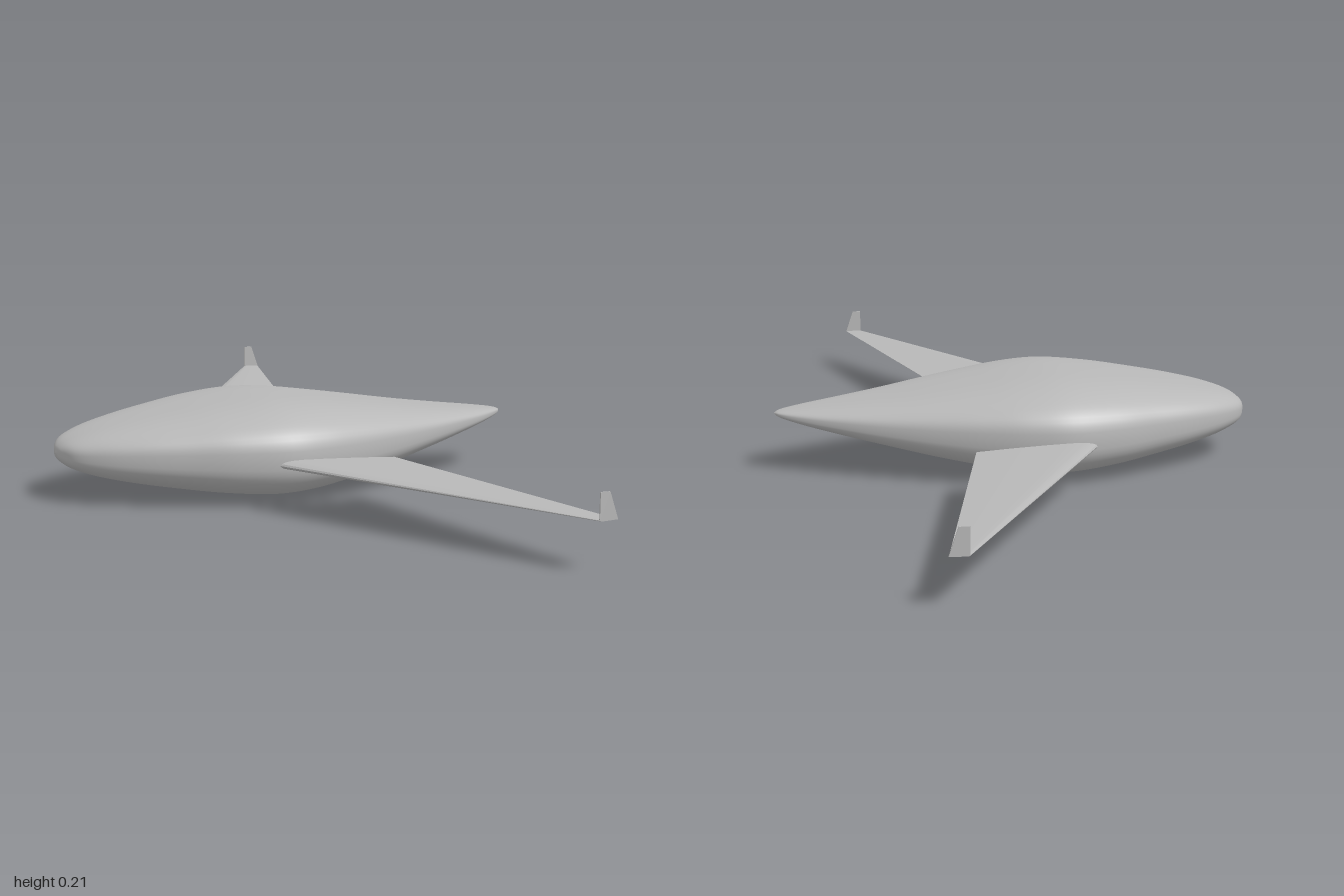
import * as THREE from 'three';
import { toCreasedNormals } from 'three/addons/utils/BufferGeometryUtils.js';

// Skin a list of closed rings of [x, y, z]; optional flat end caps
function loft(rings, capped) {
  const n = rings[0].length, last = (rings.length - 1) * n, index = [];
  for (let i = 0; i < rings.length - 1; i++) {
    for (let j = 0; j < n; j++) {
      const k = (j + 1) % n, a = i * n, b = a + n;
      index.push(a + j, b + j, a + k, b + j, b + k, a + k);
    }
  }
  if (capped) {
    for (let j = 1; j < n - 1; j++) {
      index.push(0, j, j + 1, last, last + j + 1, last + j);
    }
  }
  const g = new THREE.BufferGeometry();
  g.setAttribute('position', new THREE.Float32BufferAttribute(rings.flat(2), 3));
  g.setIndex(index);
  g.computeVertexNormals();
  return g;
}

// Fuselage: rounded-rectangle sections, [x, half width, half height]
function bodyGeometry() {
  const stations = [
    [-0.555, 0, 0], [-0.55, 0.035, 0.015], [-0.53, 0.08, 0.031], [-0.48, 0.125, 0.049],
    [-0.4, 0.172, 0.067], [-0.3, 0.217, 0.084], [-0.2, 0.257, 0.098], [-0.09, 0.28, 0.1065],
    [0, 0.268, 0.102], [0.1, 0.236, 0.088], [0.2, 0.196, 0.071], [0.3, 0.152, 0.052],
    [0.4, 0.105, 0.034], [0.5, 0.052, 0.016], [0.545, 0.018, 0.006], [0.555, 0, 0],
  ];
  const curve = new THREE.CatmullRomCurve3(stations.map((s) => new THREE.Vector3(...s)));
  const power = (v) => Math.sign(v) * Math.abs(v) ** (2 / 2.8);
  const rings = [];
  const steps = (stations.length - 1) * 5;
  for (let i = 0; i <= steps; i++) {
    const p = curve.getPoint(i / steps);
    const rise = 0.11 + 0.027 * Math.max(0, (p.x + 0.09) / 0.645) ** 2.2;
    const ring = [];
    for (let j = 0; j < 64; j++) {
      const a = (j / 64) * Math.PI * 2;
      ring.push([p.x, rise + p.z * power(Math.sin(a)), p.y * power(Math.cos(a))]);
    }
    rings.push(ring);
  }
  return loft(rings, false);
}

// Wing: tapered airfoil from root to tip
function wingGeometry(side) {
  const profile = [[0, 0], [0.01, 0.4], [0.04, 0.72], [0.1, 0.95], [0.2, 1], [0.4, 0.85], [0.7, 0.5], [1, 0.04]];
  const outline = [
    ...profile.map(([x, y]) => [x, y]).reverse().map(([x, y]) => [x, -y]),
    ...profile.slice(1),
  ];
  const section = (z, x0, x1, half) =>
    outline.map(([x, y]) => [x0 + x * (x1 - x0), 0.11 + y * half, z * side]);
  const rings = [section(0.315, -0.135, 0.135, 0.01), section(1, 0.256, 0.296, 0.0015)];
  // The loop runs clockwise seen from +z, so rings must go towards +z
  const ordered = side > 0 ? rings : rings.reverse();
  return toCreasedNormals(loft(ordered, true), 0.6);
}

// Winglet: thin upright fin at the wing tip
function wingletGeometry() {
  const shape = new THREE.Shape([
    new THREE.Vector2(0.256, 0.11), new THREE.Vector2(0.296, 0.11),
    new THREE.Vector2(0.277, 0.166), new THREE.Vector2(0.256, 0.166),
  ]);
  return new THREE.ExtrudeGeometry(shape, { depth: 0.003, bevelEnabled: false });
}

export function createModel() {
  const model = new THREE.Group();
  model.name = 'aircraft';
  const grey = new THREE.MeshStandardMaterial({ color: 0xb8b8b8 });
  grey.name = 'plain grey';

  const add = (name, geometry) => {
    const mesh = new THREE.Mesh(geometry, grey);
    mesh.name = name;
    model.add(mesh);
    return mesh;
  };

  add('fuselage', bodyGeometry());
  for (const side of [1, -1]) {
    const label = side > 0 ? 'front' : 'back';
    add(label + 'Wing', wingGeometry(side));
    add(label + 'Winglet', wingletGeometry()).position.z = side > 0 ? 0.997 : -1;
  }
  return model;
}
